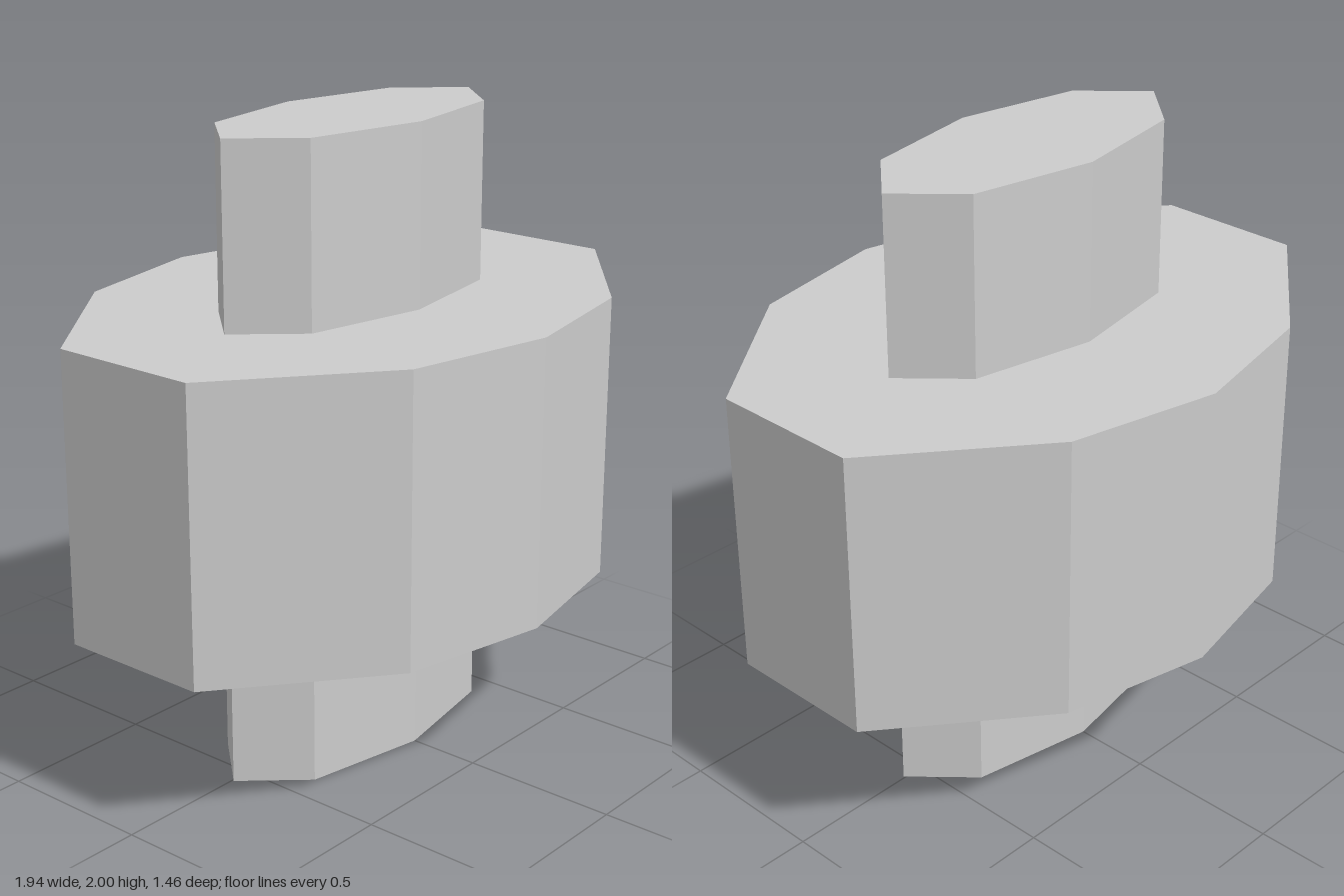
import * as THREE from 'three';

// Upright prism: half outline as [x, z] from front to back, mirrored across x = 0
function prism(name, half, y0, y1, material) {
  const mirrored = half.filter(([x]) => x > 0).map(([x, z]) => [-x, z]).reverse();
  const outline = [...half, ...mirrored].map(([x, z]) => new THREE.Vector2(x, -z));
  const geometry = new THREE.ExtrudeGeometry(new THREE.Shape(outline), {
    depth: y1 - y0,
    bevelEnabled: false,
  });
  geometry.rotateX(-Math.PI / 2).translate(0, y0, 0);
  const mesh = new THREE.Mesh(geometry, material);
  mesh.name = name;
  return mesh;
}

export function createModel() {
  const model = new THREE.Group();
  model.name = 'drumOnShaft';
  const grey = new THREE.MeshStandardMaterial({ color: 0xcccccc, flatShading: true });

  // Wide ten-sided drum
  model.add(prism('drum', [
    [0, 0.727], [0.485, 0.63], [0.97, 0.245],
    [0.97, -0.245], [0.485, -0.625], [0, -0.73],
  ], 0.53, 1.435, grey));

  // Slim eight-sided shaft running through the drum
  model.add(prism('shaft', [
    [0, 0.267], [0.402, 0.192], [0.57, 0.006], [0.402, -0.178], [0, -0.253],
  ], 0, 2, grey));

  return model;
}
